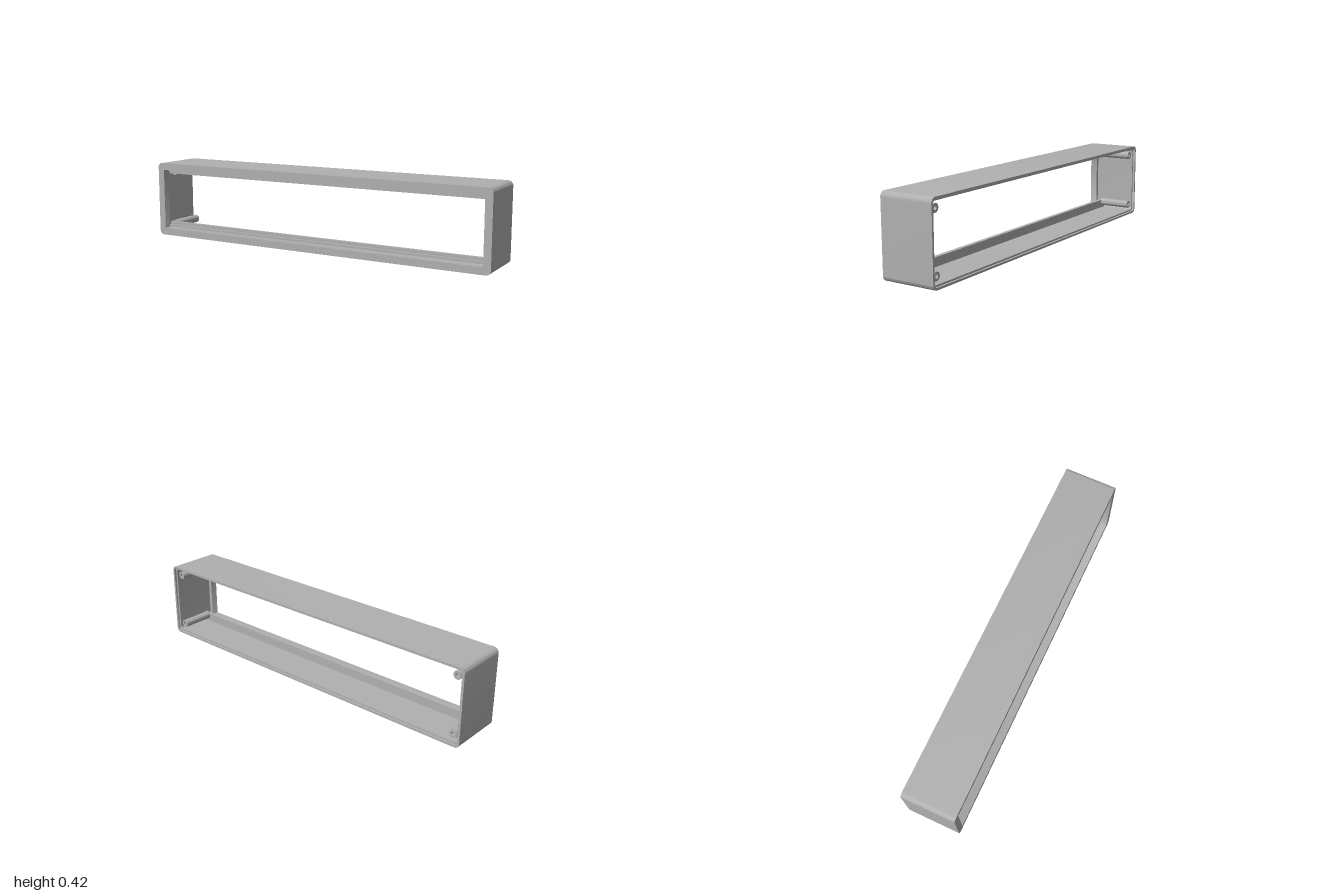
import * as THREE from 'three';
import { toCreasedNormals } from 'three/addons/utils/BufferGeometryUtils.js';

const H = 0.417, MID = H / 2;

// Rounded rectangle centred on x = 0 and the frame's mid height
function roundedRect(target, halfW, halfH, r) {
  const x = halfW, b = MID - halfH, t = MID + halfH;
  target.moveTo(-x + r, b);
  target.lineTo(x - r, b);
  target.absarc(x - r, b + r, r, -Math.PI / 2, 0);
  target.lineTo(x, t - r);
  target.absarc(x - r, t - r, r, 0, Math.PI / 2);
  target.lineTo(-x + r, t);
  target.absarc(-x + r, t - r, r, Math.PI / 2, Math.PI);
  target.lineTo(-x, b + r);
  target.absarc(-x + r, b + r, r, Math.PI, Math.PI * 1.5);
  return target;
}

function extrude(shape, z0, z1) {
  const geo = new THREE.ExtrudeGeometry(shape, { depth: z1 - z0, bevelEnabled: false, curveSegments: 10 });
  geo.translate(0, 0, z0);
  return toCreasedNormals(geo, 0.6);
}

export function createModel() {
  const model = new THREE.Group();
  model.name = 'enclosureFrame';
  const grey = new THREE.MeshStandardMaterial({ color: 0xb0b0b0 });
  grey.name = 'grey';

  const add = (name, geo) => {
    const mesh = new THREE.Mesh(geo, grey);
    mesh.name = name;
    model.add(mesh);
    return mesh;
  };

  // Shell sections: name, back z, front z, wall inset, inner corner radius
  const sections = [
    ['frontBezel', 0.105, 0.145, 0.039, 0.003],
    ['shellBody', -0.133, 0.105, 0.02, 0.012],
    ['backRim', -0.145, -0.133, 0.011, 0.016],
  ];
  for (const [name, z0, z1, inset, r] of sections) {
    const shape = roundedRect(new THREE.Shape(), 1, MID, 0.026);
    shape.holes.push(roundedRect(new THREE.Path(), 1 - inset, MID - inset, r));
    add(name, extrude(shape, z0, z1));
  }

  // Stepped rails behind the bezel, along the floor and the ceiling
  for (const top of [false, true]) {
    const side = top ? 'upper' : 'lower';
    const rail = new THREE.Shape();
    const profile = [[0.105, 0.015], [0.105, 0.039], [0.09, 0.039], [0.09, 0.051],
      [0.075, 0.051], [0.075, 0.067], [0.055, 0.067], [0.055, 0.015]];
    // Shape x runs along -z so that the extrusion runs along +x
    rail.setFromPoints(profile.map(([z, y]) => new THREE.Vector2(-z, top ? H - y : y)));
    const geo = new THREE.ExtrudeGeometry(rail, { depth: 1.964, bevelEnabled: false });
    geo.translate(0, 0, -0.982);
    geo.rotateY(Math.PI / 2);
    add(side + 'Rail', geo);
  }

  // Hollow screw posts in the four corners
  const ring = new THREE.Shape();
  ring.absarc(0, 0, 0.022, 0, Math.PI * 2);
  const bore = new THREE.Path();
  bore.absarc(0, 0, 0.01, 0, Math.PI * 2, true);
  ring.holes.push(bore);
  const postGeo = extrude(ring, -0.125, 0.06);
  for (const x of [-0.951, 0.951]) {
    for (const y of [0.055, H - 0.055]) {
      add('screwPost', postGeo).position.set(x, y, 0);
    }
  }
  return model;
}
